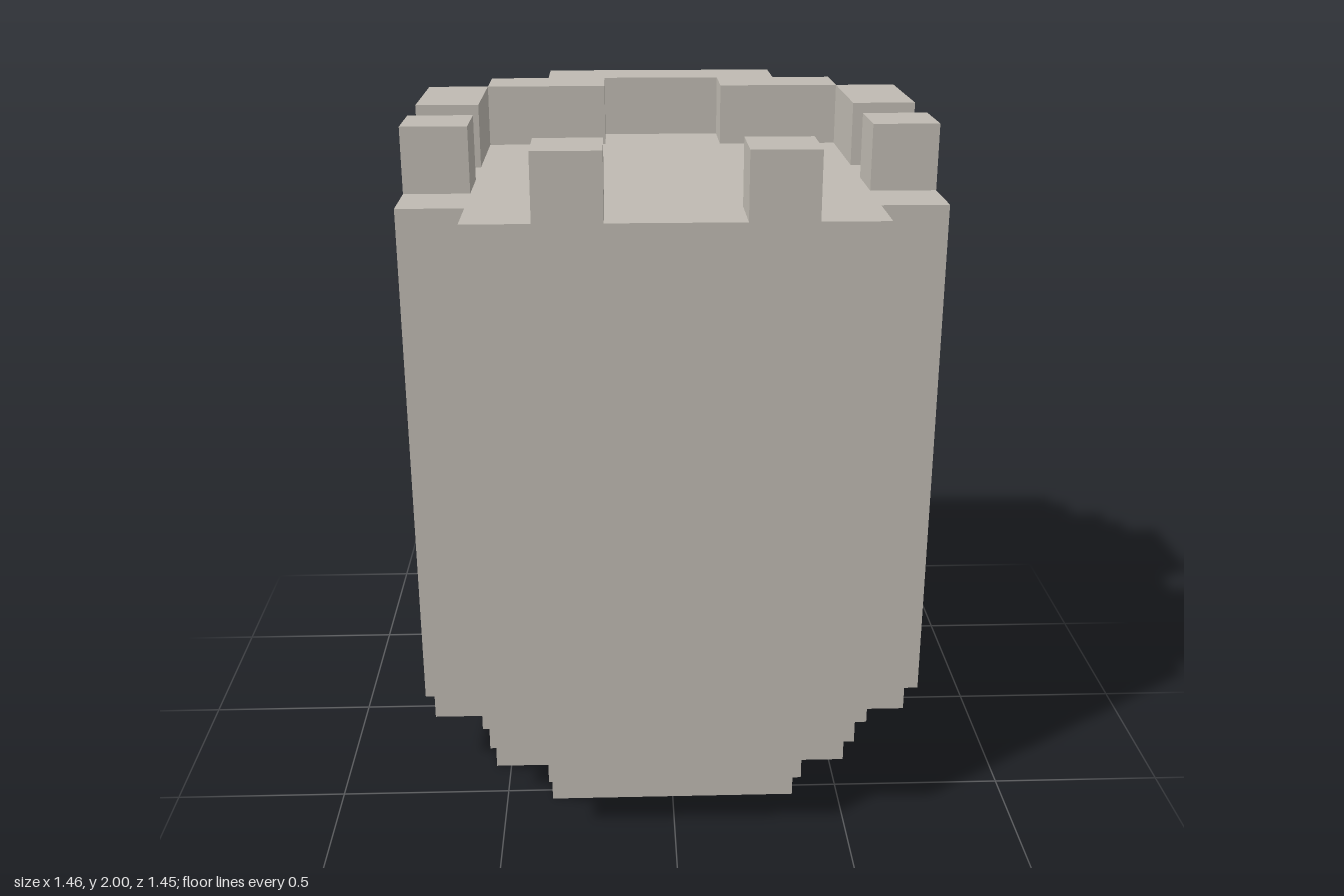
import * as THREE from 'three';

const U = 2 / 11; // one block

export function createModel() {
  const root = new THREE.Group();
  const stone = new THREE.MeshStandardMaterial({ color: 0xbfbab2 });
  stone.name = 'paleStone';
  const dark = new THREE.MeshStandardMaterial({ color: 0x595959 });
  dark.name = 'darkGrey';

  const add = (name, geometry, material = stone) => {
    const mesh = new THREE.Mesh(geometry, material);
    mesh.name = name;
    root.add(mesh);
  };
  // Box from min and max corners, in blocks
  const box = (a, b) => new THREE.BoxGeometry(b[0] - a[0], b[1] - a[1], b[2] - a[2])
    .translate((a[0] + b[0]) / 2, (a[1] + b[1]) / 2, (a[2] + b[2]) / 2);
  // One-block-thick slab from an outline, in blocks
  const slab = (points) => new THREE.ExtrudeGeometry(
    new THREE.Shape(points.map(([x, y]) => new THREE.Vector2(x, y))),
    { depth: 1, bevelEnabled: false });

  // Solid body and the stepped base under it
  add('core', box([-3, 1, -3], [3, 10, 3]));
  add('base', slab([
    [-2, -3], [2, -3], [2, -2], [3, -2], [3, 2], [2, 2],
    [2, 3], [-2, 3], [-2, 2], [-3, 2], [-3, -2], [-2, -2],
  ]).rotateX(-Math.PI / 2));

  // Front wall with two battlements
  add('frontWall', slab([
    [-2, 1], [2, 1], [2, 2], [3, 2], [3, 10], [2, 10], [2, 11], [1, 11], [1, 10],
    [-1, 10], [-1, 11], [-2, 11], [-2, 10], [-3, 10], [-3, 2], [-2, 2],
  ]).translate(0, 0, 3));

  // Back wall with a doorway notch and a raised crown
  add('backWall', slab([
    [-2, 1], [-1, 1], [-1, 3], [1, 3], [1, 1], [2, 1], [2, 2], [3, 2], [3, 10],
    [2, 10], [2, 11], [-2, 11], [-2, 10], [-3, 10], [-3, 2], [-2, 2],
  ]).translate(0, 0, -4));

  // Side walls: battlements above, a recess open to the back (outline in z, y)
  const side = [
    [-2, 1], [2, 1], [2, 2], [3, 2], [3, 10], [2, 10], [2, 11], [1, 11], [1, 10],
    [0, 10], [0, 11], [-2, 11], [-2, 10], [-3, 10], [-3, 8], [-2, 8], [-2, 9],
    [1, 9], [1, 8], [2, 8], [2, 4], [1, 4], [1, 3], [-2, 3], [-2, 4], [-3, 4],
    [-3, 2], [-2, 2],
  ];
  for (const [name, x] of [['left', 4], ['right', -3]]) {
    add(name + 'Wall', slab(side).rotateY(-Math.PI / 2).translate(x, 0, 0));
    const s = Math.sign(x);
    add(name + 'CrownCorner', box([s > 0 ? 1 : -3, 10, -3], [s > 0 ? 3 : -1, 11, -2]));
  }

  // Single dark block above the recess on one side
  add('darkBlock', box([3, 8.985, -0.99], [4.015, 9.99, 0]), dark);

  root.scale.setScalar(U);
  return root;
}
